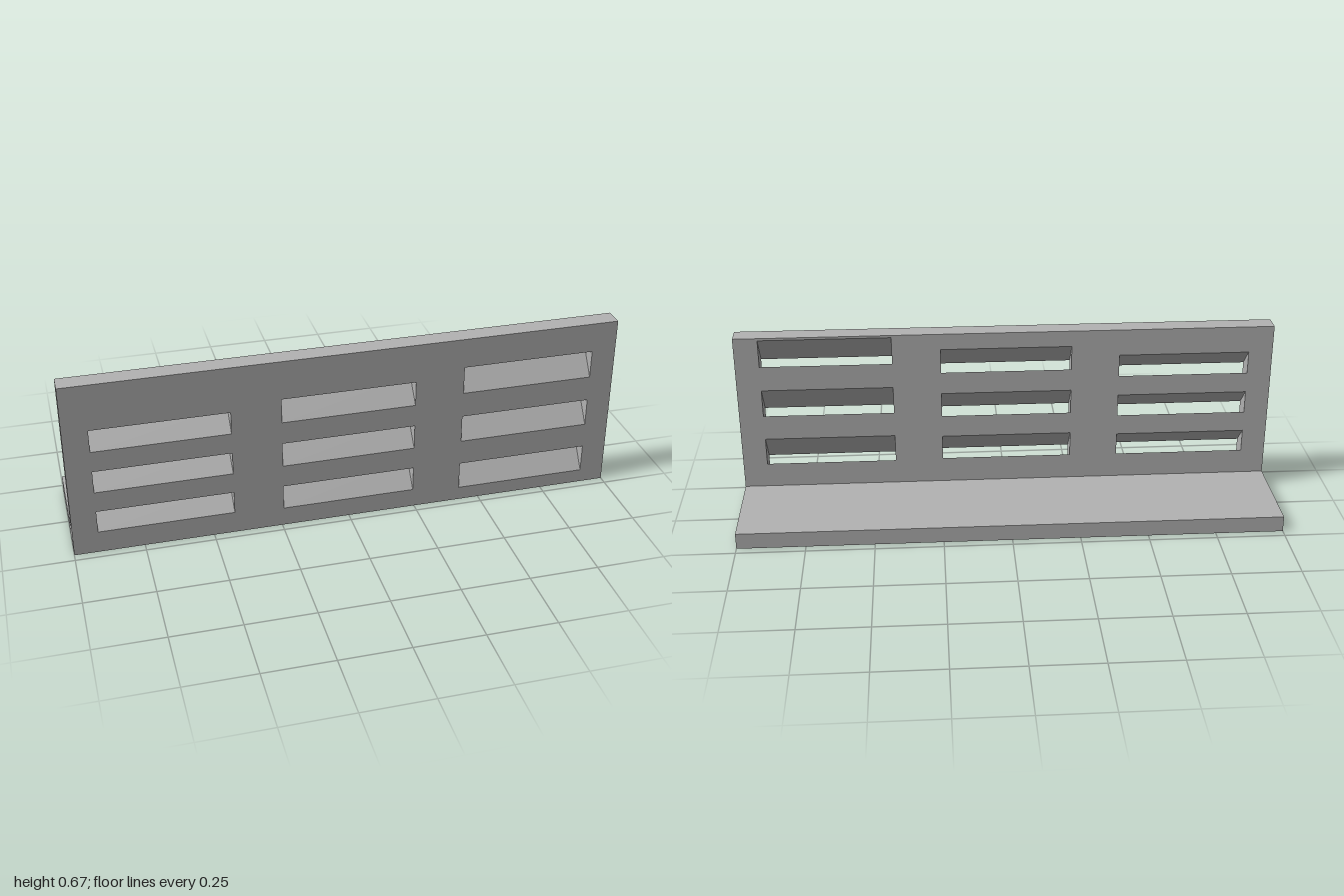
import * as THREE from 'three';
import { mergeGeometries } from 'three/addons/utils/BufferGeometryUtils.js';

const W = 1, H = 0.667, FOOT = 0.06;        // half length, wall height, foot thickness
const ZF = 0.218, ZB = 0.146;               // front and back planes of the wall
const SLOT_W = 0.2435, SLOT_T = 0.06;       // half width and true thickness of a slot

// Each column of slots climbs towards the back at its own angle
const columns = [
  { x: -2 / 3, angle: 45, bottoms: [0.083, 0.246, 0.409] },
  { x: 0, angle: 50, bottoms: [0.071, 0.249, 0.427] },
  { x: 2 / 3, angle: 55, bottoms: [0.051, 0.251, 0.451] },
];
const slots = columns.flatMap(({ x, angle, bottoms }) => {
  const a = THREE.MathUtils.degToRad(angle);
  return bottoms.map((y) => ({
    x0: x - SLOT_W, x1: x + SLOT_W, y,
    height: SLOT_T / Math.cos(a), rise: (ZF - ZB) * Math.tan(a),
  }));
});

// Flat four-cornered face, corners counter-clockwise from outside
function quad(a, b, c, d) {
  const g = new THREE.BufferGeometry();
  g.setAttribute('position', new THREE.Float32BufferAttribute([a, b, c, a, c, d].flat(), 3));
  g.computeVertexNormals();
  return g;
}

// Face running along x between two (y, z) points
const strip = (x0, x1, [y0, z0], [y1, z1]) =>
  quad([x0, y0, z0], [x1, y0, z0], [x1, y1, z1], [x0, y1, z1]);

const polygon = (pts) => pts.map(([x, y]) => new THREE.Vector2(x, y));
const rect = (x0, x1, y0, y1) => polygon([[x0, y0], [x1, y0], [x1, y1], [x0, y1]]);

// Wall face pierced by the slot openings; side is 1 for front, -1 for back
function wallFace(side) {
  const shape = new THREE.Shape(rect(-W, W, side > 0 ? 0 : FOOT, H));
  for (const s of slots) {
    const y = s.y + (side > 0 ? 0 : s.rise);
    shape.holes.push(new THREE.Path(rect(side * s.x0, side * s.x1, y, y + s.height)));
  }
  const g = new THREE.ShapeGeometry(shape);
  if (side < 0) g.rotateY(Math.PI);
  return g.translate(0, 0, side > 0 ? ZF : ZB);
}

// L-shaped end face; side is 1 for +x, -1 for -x
function endFace(side) {
  const profile = [[ZF, 0], [-ZF, 0], [-ZF, FOOT], [ZB, FOOT], [ZB, H], [ZF, H]];
  const shape = new THREE.Shape(polygon(profile.map(([z, y]) => [-side * z, y])));
  return new THREE.ShapeGeometry(shape).rotateY(side * Math.PI / 2).translate(side * W, 0, 0);
}

// Four inner faces of one slanted slot
function slotLining({ x0, x1, y, height, rise }) {
  const fb = [y, ZF], ft = [y + height, ZF];
  const bb = [y + rise, ZB], bt = [y + rise + height, ZB];
  const loop = [fb, bb, bt, ft];
  const at = (x) => ([py, pz]) => [x, py, pz];
  return mergeGeometries([
    strip(x0, x1, fb, bb),
    strip(x0, x1, bt, ft),
    quad(...loop.map(at(x0))),
    quad(...loop.map(at(x1)).reverse()),
  ]);
}

export function createModel() {
  const model = new THREE.Group();
  model.name = 'louveredBracket';
  const grey = new THREE.MeshStandardMaterial({ color: 0xb2b2b2 });
  grey.name = 'grey';
  const add = (name, geometry) => {
    const mesh = new THREE.Mesh(geometry, grey);
    mesh.name = name;
    model.add(mesh);
  };

  // Upright wall
  add('wallFront', wallFace(1));
  add('wallBack', wallFace(-1));
  add('wallTop', strip(-W, W, [H, ZF], [H, ZB]));
  add('slotLinings', mergeGeometries(slots.map(slotLining)));

  // Horizontal foot
  add('footTop', strip(-W, W, [FOOT, ZB], [FOOT, -ZF]));
  add('footBack', strip(-W, W, [FOOT, -ZF], [0, -ZF]));
  add('underside', strip(-W, W, [0, -ZF], [0, ZF]));

  // Ends
  add('leftEnd', endFace(1));
  add('rightEnd', endFace(-1));
  return model;
}
